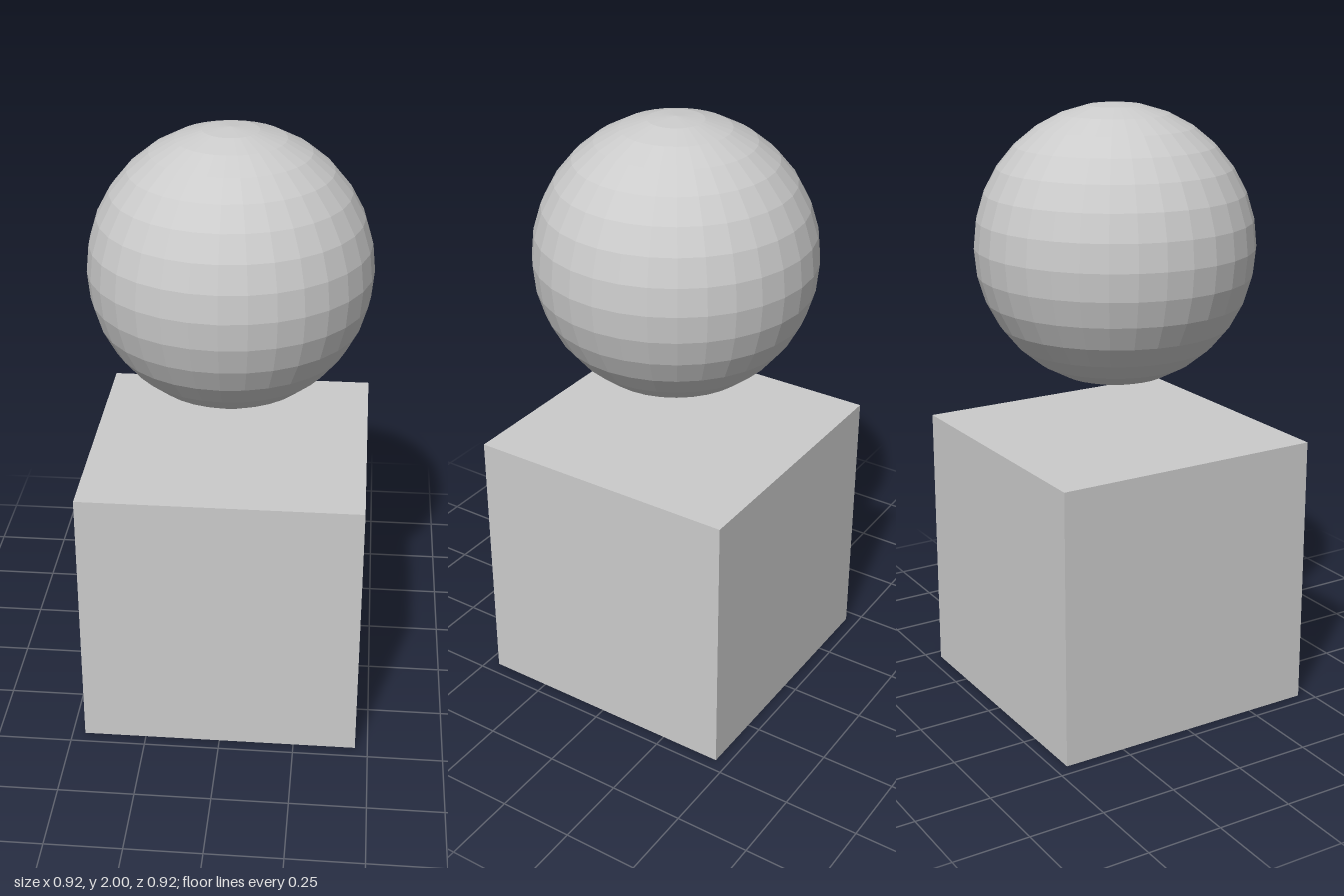
import * as THREE from 'three';

export function createModel() {
  const group = new THREE.Group();
  const size = 0.916;
  const material = new THREE.MeshStandardMaterial({ color: 0xcccccc, flatShading: true });

  // Cube standing on the ground
  const cube = new THREE.Mesh(new THREE.BoxGeometry(size, size, size), material);
  cube.name = 'cube';
  cube.position.y = size / 2;

  // Faceted ball floating above the cube
  const ball = new THREE.Mesh(new THREE.SphereGeometry(size / 2, 32, 16), material);
  ball.name = 'ball';
  ball.position.y = 2 - size / 2;

  group.add(cube, ball);
  return group;
}
